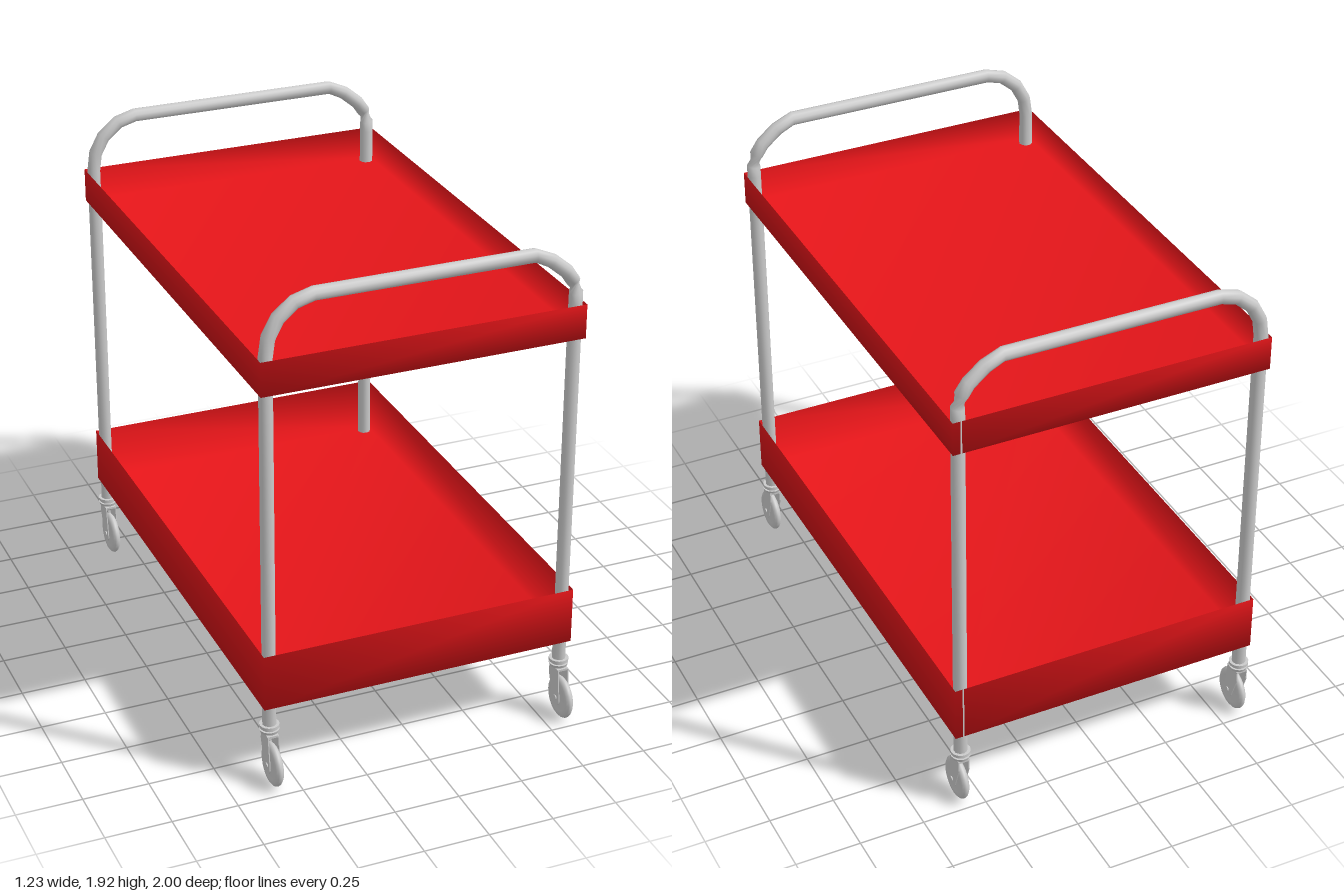
import * as THREE from 'three';

const grey = new THREE.MeshStandardMaterial({ color: 0xcccccc });
const greyThin = new THREE.MeshStandardMaterial({ color: 0xcccccc, side: THREE.DoubleSide });
const red = new THREE.MeshStandardMaterial({ color: 0xe51519, side: THREE.DoubleSide });

const LEG_X = [-0.585, 0.575];
const LEG_Z = [0.888, -0.945];

function add(parent, name, geometry, material, x = 0, y = 0, z = 0) {
  const mesh = new THREE.Mesh(geometry, material);
  mesh.name = name;
  mesh.position.set(x, y, z);
  parent.add(mesh);
  return mesh;
}

// Open sheet-metal tray: a floor and four walls sharing smooth corners
function trayGeometry(y0, y1) {
  const corners = [[-0.615, 0.92], [0.605, 0.92], [0.605, -0.97], [-0.615, -0.97]];
  const positions = [];
  for (const y of [y0, y1]) for (const [x, z] of corners) positions.push(x, y, z);
  const index = [0, 2, 1, 0, 3, 2];
  for (let i = 0; i < 4; i++) {
    const j = (i + 1) % 4;
    index.push(i, j, j + 4, i, j + 4, i + 4);
  }
  const g = new THREE.BufferGeometry();
  g.setAttribute('position', new THREE.Float32BufferAttribute(positions, 3));
  g.setIndex(index);
  g.computeVertexNormals();
  return g;
}

// Bent tube in the xy plane; each path point is [x, y, twist of the ring]
function tubeGeometry(path, radius, sides) {
  const positions = [], index = [];
  path.forEach(([x, y, twist = 0], i) => {
    const a = path[Math.max(i - 1, 0)], b = path[Math.min(i + 1, path.length - 1)];
    const t = new THREE.Vector2(b[0] - a[0], b[1] - a[1]).normalize();
    for (let j = 0; j < sides; j++) {
      const angle = (j / sides) * Math.PI * 2 + twist;
      const n = radius * Math.cos(angle);
      positions.push(x - t.y * n, y + t.x * n, radius * Math.sin(angle));
      if (i < path.length - 1) {
        const p = i * sides + j, q = i * sides + (j + 1) % sides;
        index.push(p, q, p + sides, q, q + sides, p + sides);
      }
    }
  });
  const g = new THREE.BufferGeometry();
  g.setAttribute('position', new THREE.Float32BufferAttribute(positions, 3));
  g.setIndex(index);
  g.computeVertexNormals();
  return g;
}

// Legs and push handle in one bent tube, pinched at the foot of its +x bend
function frameGeometry() {
  const [l, r] = LEG_X, pinch = 2.1;
  return tubeGeometry([
    [l, 0.24], [l, 1.69], [l + 0.01, 1.76], [l + 0.045, 1.825], [l + 0.105, 1.875], [-0.41, 1.895],
    [0.41, 1.895], [0.475, 1.865], [0.535, 1.815], [0.562, 1.775],
    [r, 1.73, pinch], [r, 1.69, pinch], [r, 0.24, pinch],
  ], 0.026, 10);
}

// Swivel caster, with its origin on the leg axis at floor level
function createCaster() {
  const caster = new THREE.Group();
  caster.name = 'caster';
  const wheelY = 0.084, wheelZ = 0.03;

  // Stacked swivel rings
  add(caster, 'upperRing', new THREE.CylinderGeometry(0.037, 0.037, 0.012, 16), grey, 0, 0.234, 0);
  add(caster, 'swivelNeck', new THREE.CylinderGeometry(0.029, 0.029, 0.03, 16), grey, 0, 0.222, 0);
  add(caster, 'lowerRing', new THREE.CylinderGeometry(0.037, 0.033, 0.012, 16), grey, 0, 0.214, 0);
  add(caster, 'forkCrown', new THREE.BoxGeometry(0.044, 0.008, 0.066), grey, 0, 0.202, 0.005);

  // Fork cheeks tapering down to the axle
  const cheek = new THREE.Shape();
  cheek.moveTo(-0.028, 0.204);
  cheek.lineTo(-0.03, 0.165);
  cheek.lineTo(wheelZ - 0.026, wheelY - 0.012);
  cheek.absarc(wheelZ, wheelY - 0.006, 0.026, Math.PI * 1.1, Math.PI * 2.05, false);
  cheek.lineTo(0.04, 0.204);
  cheek.closePath();
  const cheekGeo = new THREE.ExtrudeGeometry(cheek, { depth: 0.004, bevelEnabled: false, curveSegments: 6 });
  cheekGeo.rotateY(-Math.PI / 2);
  for (const x of [-0.018, 0.022]) add(caster, 'forkCheek', cheekGeo, greyThin, x, 0, 0);

  // Wheel with a rounded tread
  const profile = [[0.008, -0.013], [0.05, -0.013], [0.056, -0.016], [0.072, -0.015], [0.081, -0.008],
    [0.084, 0], [0.081, 0.008], [0.072, 0.015], [0.056, 0.016], [0.05, 0.013], [0.008, 0.013]];
  const wheelGeo = new THREE.LatheGeometry(profile.map(([r, y]) => new THREE.Vector2(r, y)), 24);
  wheelGeo.rotateZ(Math.PI / 2);
  add(caster, 'wheel', wheelGeo, greyThin, 0, wheelY, wheelZ);

  // Axle bolt
  const axleGeo = new THREE.CylinderGeometry(0.01, 0.01, 0.052, 8);
  axleGeo.rotateZ(Math.PI / 2);
  add(caster, 'axle', axleGeo, grey, 0, wheelY, wheelZ);
  return caster;
}

export function createModel() {
  const cart = new THREE.Group();
  cart.name = 'utilityCart';

  add(cart, 'upperTray', trayGeometry(1.56, 1.69), red);
  add(cart, 'lowerTray', trayGeometry(0.32, 0.54), red);

  const frame = frameGeometry();
  for (const z of LEG_Z) {
    add(cart, z > 0 ? 'frontLegsAndHandle' : 'backLegsAndHandle', frame, greyThin, 0, 0, z);
    for (const x of LEG_X) {
      const caster = createCaster();
      caster.position.set(x, 0, z);
      cart.add(caster);
    }
  }
  return cart;
}
